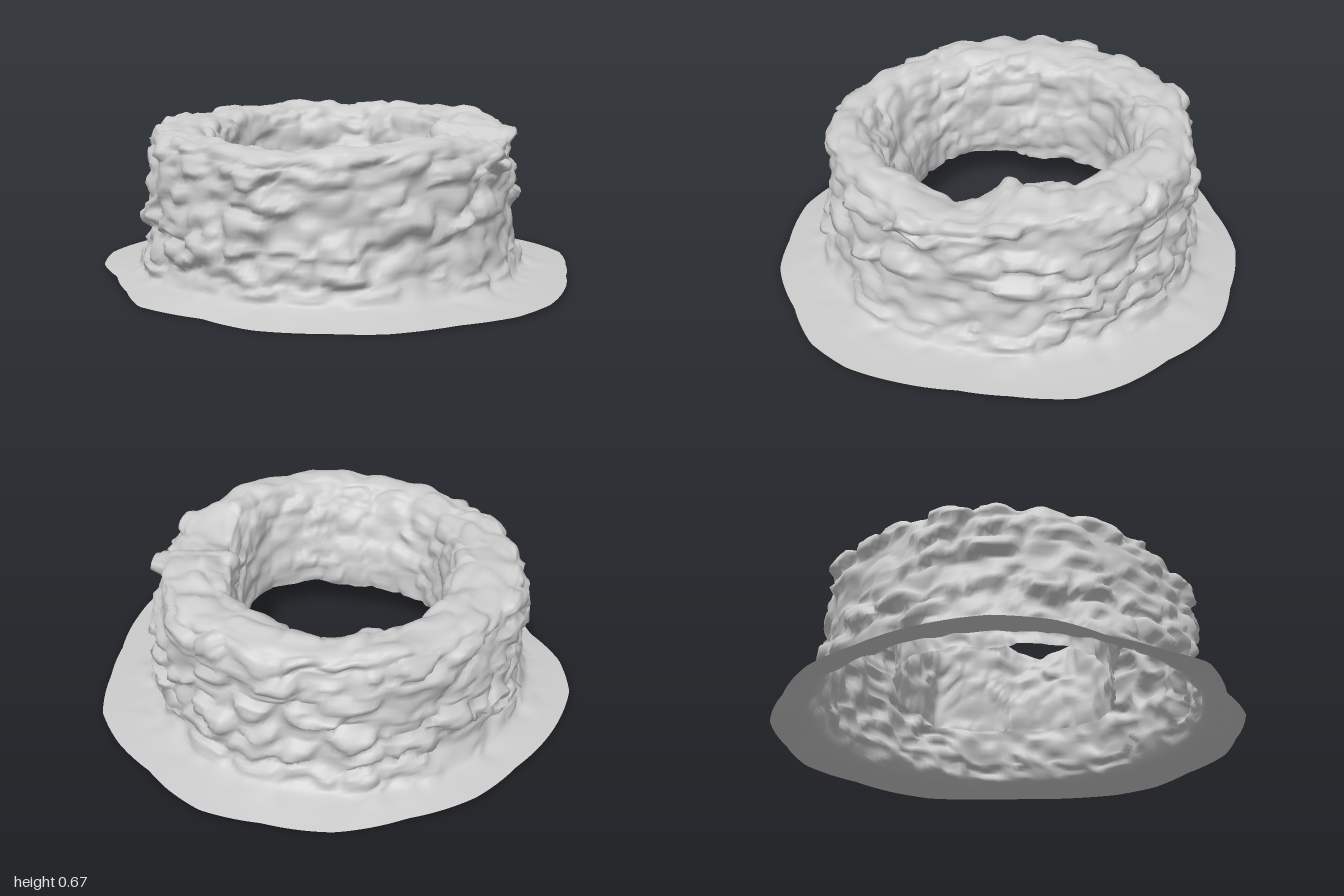
import * as THREE from 'three';

const SEGS = 240; // steps around the ring
const STEP = 6; // rows between two profile points

const hash = (a, b, c = 0) => {
  const s = Math.sin(a * 127.1 + b * 311.7 + c * 74.7) * 43758.5453;
  return s - Math.floor(s);
};
const smooth = (t) => t * t * (3 - 2 * t);
const lerp = THREE.MathUtils.lerp;

// Smooth 3D value noise, -1..1
function noise(x, y, z) {
  const i = Math.floor(x), j = Math.floor(y), k = Math.floor(z);
  const u = smooth(x - i), v = smooth(y - j), w = smooth(z - k);
  const edge = (b, c) => lerp(hash(i, b, c), hash(i + 1, b, c), u);
  const face = (c) => lerp(edge(j, c), edge(j + 1, c), v);
  return lerp(face(k), face(k + 1), w) * 2 - 1;
}

// Rough, uneven courses of stones: each stone stands out by its own amount
function stones(a, s, wobble) {
  const v = s / 0.085 + wobble * 0.6;
  const row = Math.floor(v);
  const count = 18 + Math.floor(hash(row, 3) * 9);
  const u = (a / (Math.PI * 2)) * count + hash(row, 9) + wobble * 0.4;
  const col = ((Math.floor(u) % count) + count) % count;
  const fu = u - Math.floor(u), fv = v - row;
  const edge = smooth(Math.min(1, Math.min(fu, 1 - fu) * 5)) * smooth(Math.min(1, Math.min(fv, 1 - fv) * 4));
  return hash(row, col, 5) * 1.3 * edge - 0.4;
}

// Value at angle a from [degrees, value] pairs, wrapping round
function around(table, a) {
  const d = ((a * 180) / Math.PI + 360) % 360;
  let i = table.length - 1;
  while (i > 0 && table[i][0] > d) i--;
  const p = table[i], q = table[(i + 1) % table.length];
  const span = (q[0] - p[0] + 360) % 360;
  return lerp(p[1], q[1], (d - p[0]) / span);
}

// Outline of the ground skirt; angles run from +x towards +z
const skirtOutline = [
  [0.99, 0], [0.99, 0.25], [0.95, 0.45], [0.84, 0.63], [0.64, 0.77], [0.4, 0.92], [0.2, 0.95],
  [-0.08, 0.965], [-0.3, 0.87], [-0.58, 0.78], [-0.7, 0.6], [-0.82, 0.4], [-0.95, 0.22], [-1, 0],
  [-0.96, -0.2], [-0.8, -0.51], [-0.65, -0.71], [-0.4, -0.86], [-0.13, -0.975], [0.15, -0.97],
  [0.4, -0.94], [0.55, -0.85], [0.65, -0.76], [0.82, -0.62], [0.94, -0.45], [0.98, -0.2],
].map(([x, z]) => [((Math.atan2(z, x) * 180) / Math.PI + 360) % 360, Math.hypot(x, z)]);
// Outer wall radius, inner radius at the rim and at the lower edge, and rim height
const outer = [[0, 0.757], [45, 0.76], [90, 0.768], [135, 0.757], [180, 0.775], [225, 0.767], [270, 0.77], [315, 0.782]];
const innerTop = [[0, 0.47], [20, 0.5], [45, 0.56], [90, 0.58], [130, 0.54], [180, 0.45], [225, 0.52], [270, 0.53], [305, 0.51], [318, 0.52], [328, 0.46], [350, 0.42]];
const innerLow = [[0, 0.445], [45, 0.5], [90, 0.43], [135, 0.47], [180, 0.41], [225, 0.5], [270, 0.465], [305, 0.47], [318, 0.53], [335, 0.47]];
const rimHeight = [[0, 0.56], [12, 0.56], [28, 0.61], [55, 0.625], [95, 0.59], [130, 0.6], [180, 0.625], [240, 0.62], [270, 0.61], [300, 0.635], [340, 0.63], [352, 0.6]];

// Cross-section at one angle: x = radius, y = height, z = roughness
function section(a) {
  const R = around(skirtOutline, a), wall = around(outer, a);
  const top = around(innerTop, a), low = around(innerLow, a), h = around(rimHeight, a);
  const edgeY = 0.02 * Math.cos(a) ** 2;
  const points = [
    [R, edgeY, 0], [lerp(R, wall + 0.06, 0.55), edgeY * 0.4 + 0.02, 0.05], [wall + 0.045, 0.048, 0.3],
    [wall + 0.015, 0.12, 0.9], [wall + 0.005, 0.24, 1], [wall, 0.36, 1], [wall - 0.004, 0.48, 1], [wall - 0.016, h - 0.035, 1],
    [wall - 0.055, h + 0.008, 0.8], [(0.7 + top) / 2, h + 0.015, 0.7], [top + 0.02, h - 0.01, 0.8],
    [lerp(top, low, 0.25), h - 0.09, 0.9], [lerp(top, low, 0.6), 0.41, 0.9], [low, 0.3, 0.8], [low + 0.01, 0.17, 0.7],
  ].map((p) => new THREE.Vector3(...p));
  const curve = new THREE.CatmullRomCurve3(points, false, 'catmullrom', 0.4);
  return curve.getPoints((points.length - 1) * STEP);
}

function buildSurface() {
  const positions = [], index = [];
  let rows = 0;
  for (let i = 0; i < SEGS; i++) {
    const a = (i / SEGS) * Math.PI * 2, c = Math.cos(a), s = Math.sin(a);
    const pts = section(a);
    rows = pts.length;
    let run = 0;
    pts.forEach((p, j) => {
      const before = pts[Math.max(j - 1, 0)], after = pts[Math.min(j + 1, rows - 1)];
      const tr = after.x - before.x, ty = after.y - before.y, len = Math.hypot(tr, ty) || 1;
      if (j > 2 * STEP) run += Math.hypot(p.x - before.x, p.y - before.y);
      const x = p.x * c, z = p.x * s;
      const broad = noise(x * 6 + 20, p.y * 9, z * 6 + 20);
      const fine = noise(x * 13 + 50, p.y * 22, z * 13 + 50);
      // Coursed stones on the outer wall, softer lumps on the rim and inside
      const course = j < 7.5 * STEP ? 0.04 : 0.02;
      const push = p.z * (stones(a, run, broad + 0.5 * fine) * course + broad * 0.018 + fine * 0.017);
      // Push along the section's normal, with some sag for ragged ledges
      const r = p.x + (ty / len) * push;
      const y = p.y - (tr / len) * push + p.z * 0.018 * noise(x * 11, p.y * 11 + 30, z * 11);
      positions.push(r * c, Math.max(y, 0), r * s);
    });
  }
  for (let j = 0; j < rows - 1; j++) {
    for (let i = 0; i < SEGS; i++) {
      const p = i * rows + j, q = ((i + 1) % SEGS) * rows + j;
      index.push(p, p + 1, q, q, p + 1, q + 1);
    }
  }
  const geometry = new THREE.BufferGeometry();
  geometry.setAttribute('position', new THREE.Float32BufferAttribute(positions, 3));
  geometry.setIndex(index);
  geometry.computeVertexNormals();
  return geometry;
}

export function createModel() {
  const group = new THREE.Group();
  group.name = 'stoneRing';
  const material = new THREE.MeshStandardMaterial({ color: 0xcccccc, side: THREE.DoubleSide });
  const surface = buildSurface();
  const all = Array.from(surface.index.array);

  // Bands of the one continuous surface, sharing points and normals
  const bands = [['groundSkirt', 0, 2], ['outerWall', 2, 7], ['rim', 7, 10], ['innerWall', 10, 14]];
  for (const [name, from, to] of bands) {
    const geometry = new THREE.BufferGeometry();
    geometry.setAttribute('position', surface.attributes.position);
    geometry.setAttribute('normal', surface.attributes.normal);
    geometry.setIndex(all.slice(from * STEP * SEGS * 6, to * STEP * SEGS * 6));
    const mesh = new THREE.Mesh(geometry, material);
    mesh.name = name;
    group.add(mesh);
  }
  return group;
}
